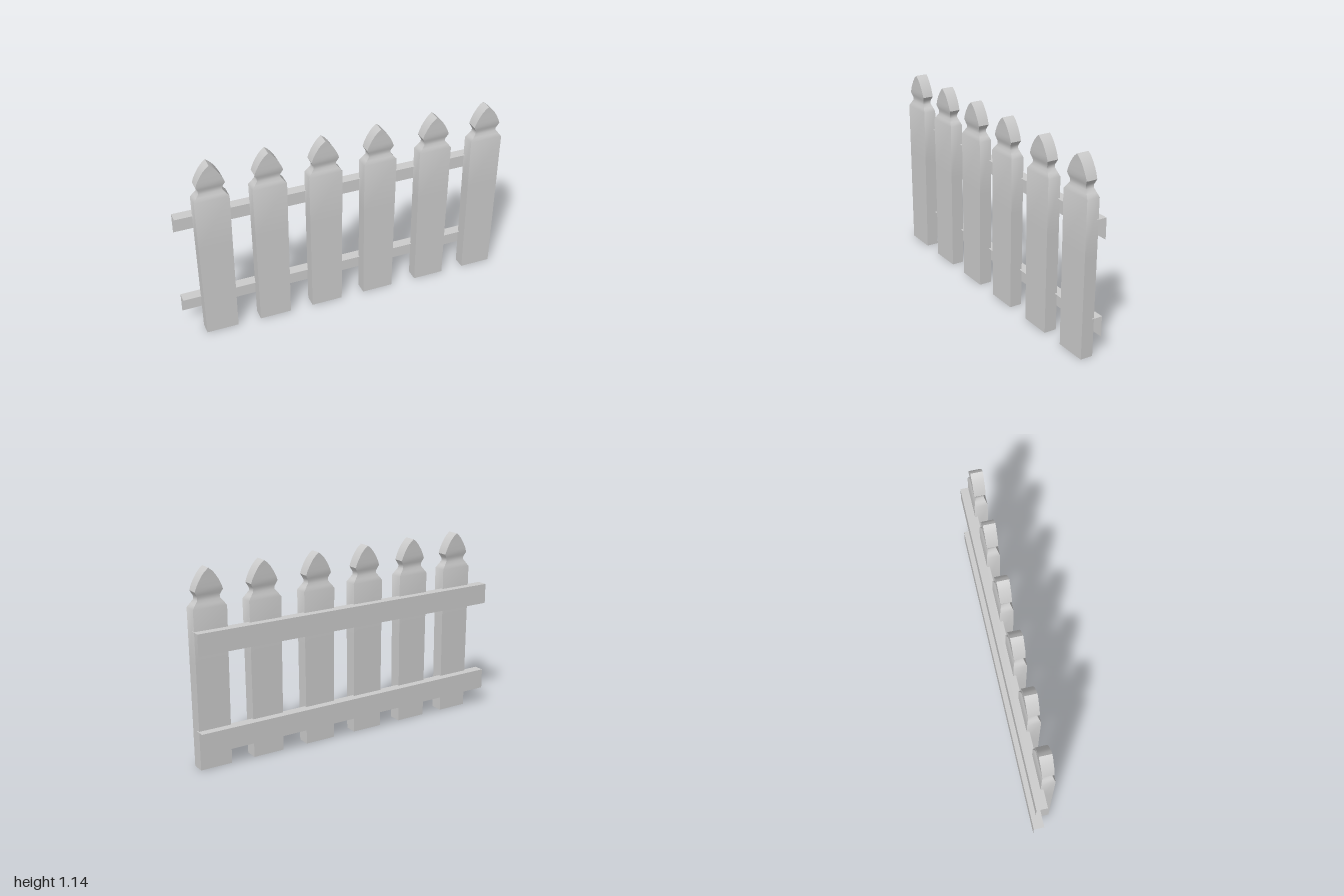
import * as THREE from 'three';
import { toCreasedNormals } from 'three/addons/utils/BufferGeometryUtils.js';

const material = new THREE.MeshStandardMaterial({ color: 0xcccccc, side: THREE.DoubleSide });

// Board cross-sections: height, half width, front z, back z
const boardRows = [
  [0, 0.096, 0.060, -0.016],
  [0.6, 0.099, 0.061, -0.016],
  [0.922, 0.101, 0.062, -0.016],
  [0.945, 0.084, 0.054, -0.009],
  [0.965, 0.068, 0.047, -0.003],
  [0.98, 0.066, 0.047, -0.002],
  [0.995, 0.073, 0.051, -0.005],
  [1.014, 0.083, 0.056, -0.010],
  [1.04, 0.074, 0.057, -0.011],
  [1.07, 0.059, 0.058, -0.012],
  [1.10, 0.040, 0.058, -0.012],
  [1.122, 0.021, 0.059, -0.013],
  [1.139, 0, 0.059, -0.013],
];

// Joins successive point lists with quads; closed lists wrap round
function skin(rings, closed, crease) {
  const pos = [];
  const n = rings[0].length;
  for (let i = 0; i < rings.length - 1; i++) {
    for (let j = 0; j < (closed ? n : n - 1); j++) {
      const k = (j + 1) % n;
      const a = rings[i][j], b = rings[i][k], c = rings[i + 1][k], d = rings[i + 1][j];
      pos.push(...a, ...b, ...c, ...a, ...c, ...d);
    }
  }
  const geometry = new THREE.BufferGeometry();
  geometry.setAttribute('position', new THREE.Float32BufferAttribute(pos, 3));
  return toCreasedNormals(geometry, crease);
}

export function createModel() {
  const fence = new THREE.Group();
  fence.name = 'picketFence';

  // Pickets: open-bottomed boards with a pinched neck and pointed head
  const board = skin(
    boardRows.map(([y, w, f, b]) => [[-w, y, f], [w, y, f], [w, y, b], [-w, y, b]]),
    true, 0.65);
  [-0.794, -0.461, -0.128, 0.209, 0.56, 0.896].forEach((x, i) => {
    const picket = new THREE.Mesh(board, material);
    picket.name = `picket${i + 1}`;
    picket.position.x = x;
    fence.add(picket);
  });

  // Rails: thin angle strips, a back plate with a top flange reaching forward
  const section = [[0, 0], [0, -0.064], [-0.124, -0.064]];
  const angle = skin([-1, 1].map((x) => section.map(([y, z]) => [x, y, z])), false, 0.3);
  // Face the plate backward and the flange upward
  if (angle.attributes.normal.getY(0) < 0) {
    const p = angle.attributes.position;
    for (let i = 0; i < p.count; i++) p.setX(i, -p.getX(i));
    angle.computeVertexNormals();
  }
  for (const [name, top] of [['lowerRail', 0.231], ['upperRail', 0.801]]) {
    const rail = new THREE.Mesh(angle, material);
    rail.name = name;
    rail.position.y = top;
    fence.add(rail);
  }
  return fence;
}
